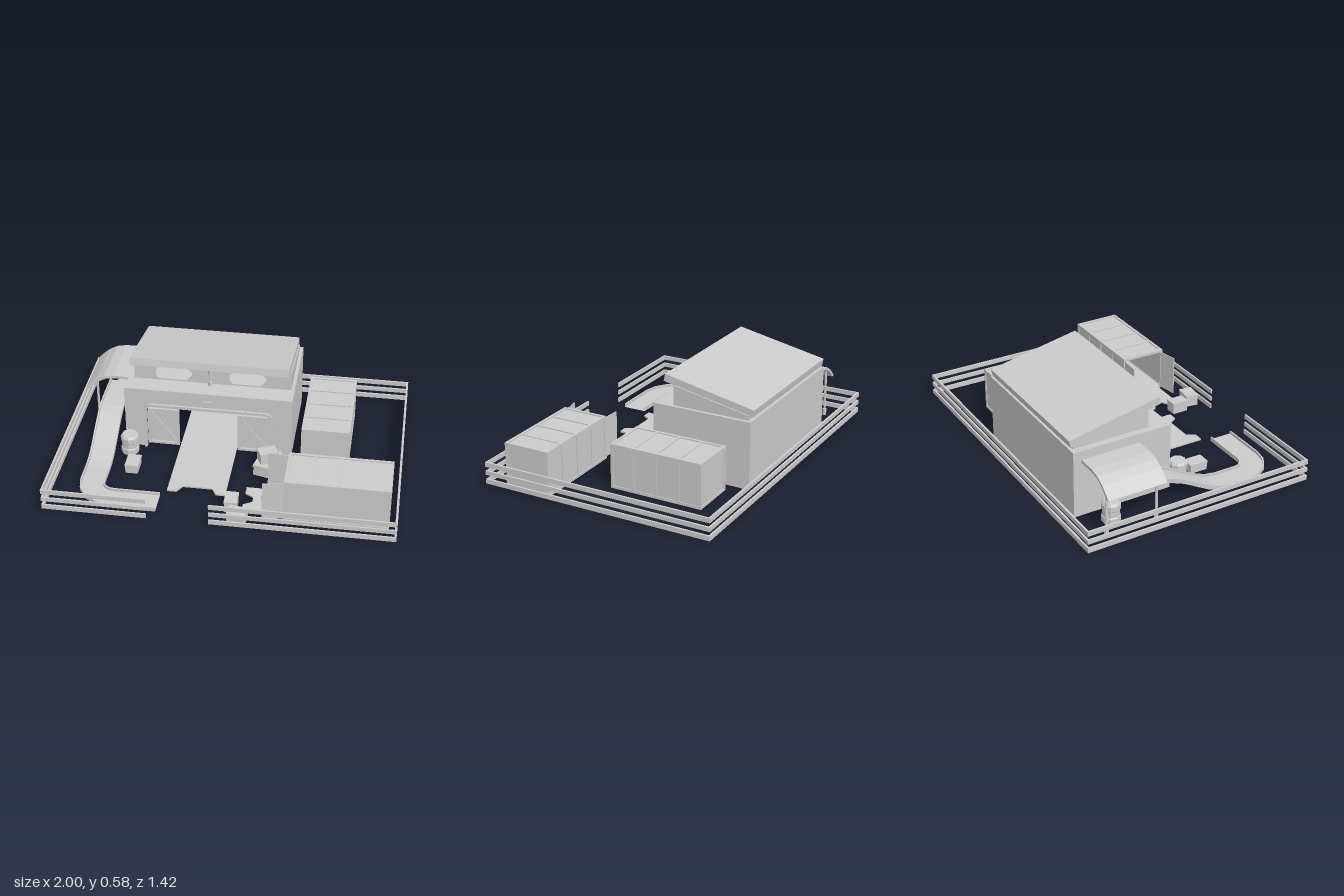
import * as THREE from 'three';

const mat = new THREE.MeshStandardMaterial({ color: 0xcccccc, flatShading: true, side: THREE.DoubleSide });

function add(parent, name, geo, x = 0, y = 0, z = 0) {
  const m = new THREE.Mesh(geo, mat);
  m.name = name;
  m.position.set(x, y, z);
  parent.add(m);
  return m;
}
// box given by its minimum and maximum corners
function span(parent, name, x0, x1, y0, y1, z0, z1) {
  return add(parent, name, new THREE.BoxGeometry(x1 - x0, y1 - y0, z1 - z0), (x0 + x1) / 2, (y0 + y1) / 2, (z0 + z1) / 2);
}
function group(parent, name, x = 0, y = 0, z = 0) {
  const g = new THREE.Group();
  g.name = name;
  g.position.set(x, y, z);
  parent.add(g);
  return g;
}
const poly = pts => new THREE.Shape(pts.map(p => new THREE.Vector2(...p)));
const extrude = (shape, depth) => new THREE.ExtrudeGeometry(shape, { depth, bevelEnabled: false, curveSegments: 5 });

// doorway outline with rounded upper corners
function archPoints(cx, half, top, r) {
  const pts = [[cx - half, 0]];
  for (let i = 0; i <= 4; i++) {
    const a = Math.PI - i * Math.PI / 8;
    pts.push([cx - half + r + r * Math.cos(a), top - r + r * Math.sin(a)]);
  }
  for (let i = 0; i <= 4; i++) {
    const a = Math.PI / 2 - i * Math.PI / 8;
    pts.push([cx + half - r + r * Math.cos(a), top - r + r * Math.sin(a)]);
  }
  pts.push([cx + half, 0]);
  return pts;
}

// three rails all round, with an entrance gap at the front
function buildFence(root) {
  const g = group(root, 'fence');
  for (const [y0, y1] of [[0.012, 0.04], [0.065, 0.09], [0.115, 0.142]]) {
    span(g, 'backRail', -1, 1, y0, y1, -0.71, -0.698);
    span(g, 'frontRailRight', -1, -0.4, y0, y1, 0.696, 0.706);
    span(g, 'frontRailLeft', -0.045, 1, y0, y1, 0.696, 0.706);
    for (const s of [-1, 1]) span(g, 'sideRail', s * 0.994 - 0.006, s * 0.994 + 0.006, y0, y1, -0.71, 0.706);
  }
}

function buildBuilding(root) {
  const g = group(root, 'building');
  const cx = -0.16;
  // lower hall, open underneath
  const front = poly([[-0.66, 0], ...archPoints(cx, 0.37, 0.292, 0.03), [0.34, 0], [0.34, 0.405], [-0.66, 0.405]]);
  add(g, 'frontWall', extrude(front, 0.02), 0, 0, -0.015);
  span(g, 'backWall', -0.66, 0.34, 0, 0.405, -0.605, -0.59);
  span(g, 'rightWall', -0.66, -0.645, 0, 0.405, -0.59, -0.015);
  span(g, 'leftWall', 0.325, 0.34, 0, 0.405, -0.59, -0.015);
  span(g, 'hallCeiling', -0.645, 0.325, 0.39, 0.405, -0.59, -0.015);
  // raised door frame
  const outer = archPoints(cx, 0.385, 0.31, 0.04), inner = archPoints(cx, 0.37, 0.292, 0.03);
  add(g, 'doorFrame', extrude(poly([...outer, ...inner.reverse()]), 0.018));
  span(g, 'doorLamp', cx - 0.025, cx + 0.025, 0.33, 0.355, 0.004, 0.014);
  // braced door leaves, slid open to both sides
  for (const s of [-1, 1]) {
    const d = group(g, 'doorLeaf', cx + s * 0.272, 0.14, -0.02);
    const w = 0.19, h = 0.25;
    add(d, 'doorPanel', new THREE.BoxGeometry(w, h, 0.008));
    for (const t of [-1, 1]) {
      add(d, 'doorRail', new THREE.BoxGeometry(w, 0.016, 0.02), 0, t * (h / 2 - 0.008), 0.004);
      add(d, 'doorStile', new THREE.BoxGeometry(0.016, h, 0.02), t * (w / 2 - 0.008), 0, 0.004);
      add(d, 'doorBrace', new THREE.BoxGeometry(Math.hypot(w, h) - 0.05, 0.014, 0.014), 0, 0, 0.004).rotation.z = t * Math.atan2(h, w);
    }
  }
  // upper storey with two long rounded windows
  const upper = poly([[-0.62, 0.4], [0.32, 0.4], [0.32, 0.522], [-0.62, 0.522]]);
  for (const x of [-0.383, 0.06]) {
    const hole = new THREE.Path(), r = 0.04, hw = 0.072;
    hole.absarc(x + hw, 0.455, r, -Math.PI / 2, Math.PI / 2, false);
    hole.absarc(x - hw, 0.455, r, Math.PI / 2, Math.PI * 1.5, false);
    hole.closePath();
    upper.holes.push(hole);
  }
  add(g, 'upperFrontWall', extrude(upper, 0.02), 0, 0, -0.135);
  const side = extrude(poly([[0.115, 0.4], [0.585, 0.4], [0.585, 0.433], [0.115, 0.525]]), 0.015);
  side.rotateY(Math.PI / 2);
  for (const x of [-0.62, 0.305]) add(g, 'upperSideWall', side, x);
  span(g, 'upperBackWall', -0.62, 0.32, 0.4, 0.433, -0.585, -0.57);
  // sloping roof and its post
  add(g, 'roof', new THREE.BoxGeometry(0.945, 0.045, 0.57), cx, 0.502, -0.33).rotation.x = -0.2;
  add(g, 'roofPost', new THREE.CylinderGeometry(0.008, 0.008, 0.13, 8), cx, 0.465, -0.095);
  for (const y of [0.417, 0.5]) add(g, 'postCollar', new THREE.CylinderGeometry(0.013, 0.013, 0.03, 8), cx, y, -0.095);
}

// ramp along z whose front edge has two tongues
function ramp(parent, name, w, z0, z1) {
  const h = w / 2, n = z1 - 0.05;
  const s = poly([[-h, z0], [h, z0], [h, z1], [h - 0.055, z1], [h - 0.085, n], [-h + 0.085, n], [-h + 0.055, z1], [-h, z1]]);
  const geo = extrude(s, 0.01);
  geo.rotateX(Math.PI / 2);
  return add(parent, name, geo, 0, 0.016, 0);
}

// framed container shell, long along x
function container(parent, name, L, W, ribs, open) {
  const g = group(parent, name), H = 0.268, b = 0.016, i = 0.007;
  const x = L / 2, z = W / 2;
  span(g, 'topPanel', -x + i, x - i, H - i - 0.004, H - i, -z + i, z - i);
  for (const s of [-1, 1]) {
    add(g, 'sidePanel', new THREE.BoxGeometry(L - 2 * i, H - i, 0.004), 0, (H - i) / 2, s * (z - i));
    if (!open || s > 0) add(g, 'endPanel', new THREE.BoxGeometry(0.004, H - i, W - 2 * i), s * (x - i), (H - i) / 2, 0);
    for (const y of [b / 2, H - b / 2]) {
      add(g, 'longEdge', new THREE.BoxGeometry(L, b, b), 0, y, s * (z - b / 2));
      add(g, 'endEdge', new THREE.BoxGeometry(b, b, W), s * (x - b / 2), y, 0);
    }
    for (const t of [-1, 1]) add(g, 'cornerPost', new THREE.BoxGeometry(b, H, b), s * (x - b / 2), H / 2, t * (z - b / 2));
    for (let k = 1; k <= ribs; k++)
      add(g, 'sideRib', new THREE.BoxGeometry(0.014, H, 0.01), -x + k * L / (ribs + 1), H / 2, s * (z - 0.005));
  }
  for (let k = 1; k <= ribs; k++)
    add(g, 'topRib', new THREE.BoxGeometry(0.014, 0.008, W), -x + k * L / (ribs + 1), H - 0.005, 0);
  if (open) {
    span(g, 'containerFloor', -x, x, 0.004, 0.014, -z, z);
    // opened door leaves
    for (const s of [-1, 1]) {
      const d = group(g, 'containerDoor', -x, 0.13, s * (z - 0.01));
      d.rotation.y = s * (s > 0 ? 0.18 : 0.05);
      add(d, 'doorPanel', new THREE.BoxGeometry(0.12, 0.245, 0.006), -0.06);
    }
  }
  return g;
}

// chute: a U section swept along a path that slopes down and turns the corner
function chuteGeometry() {
  const path = [];
  const height = z => 0.17 * (1 - THREE.MathUtils.smoothstep(z, -0.17, 0.28)) + 0.004;
  for (let k = 0; k <= 12; k++) {
    const z = -0.4 + k * 0.82 / 12;
    path.push([-0.772, height(z), z, -1, 0]);
  }
  for (let k = 1; k <= 4; k++) {
    const a = k * Math.PI / 8;
    path.push([-0.635 - 0.137 * Math.cos(a), 0.004, 0.42 + 0.137 * Math.sin(a), -Math.cos(a), Math.sin(a)]);
  }
  path.push([-0.362, 0.004, 0.557, 0, 1]);
  const w = 0.073, n = 0.064;
  const sec = [[-w, 0], [-w, 0.026], [-n, 0.026], [-n, 0.01], [n, 0.01], [n, 0.026], [w, 0.026], [w, 0]];
  const pos = [], idx = [];
  for (const [x, y, z, dx, dz] of path) for (const [o, h] of sec) pos.push(x + dx * o, y + h, z + dz * o);
  for (let i = 0; i < path.length - 1; i++) for (let j = 0; j < 8; j++) {
    const a = i * 8 + j, b = i * 8 + (j + 1) % 8;
    idx.push(a, b, a + 8, b, b + 8, a + 8);
  }
  const geo = new THREE.BufferGeometry();
  geo.setAttribute('position', new THREE.Float32BufferAttribute(pos, 3));
  geo.setIndex(idx);
  geo.computeVertexNormals();
  return geo;
}

function buildChute(root) {
  const g = group(root, 'chute');
  add(g, 'chuteTrough', chuteGeometry());
  // curved canopy on two posts
  const top = [[-0.66, 0.35], [-0.77, 0.35], [-0.83, 0.338], [-0.88, 0.31], [-0.915, 0.28], [-0.945, 0.25]];
  const low = top.map(([x, y], i) => [x + i * 0.004, y - 0.02 + i * 0.003]).reverse();
  add(g, 'canopy', extrude(poly([...top, ...low]), 0.36), 0, 0, -0.555);
  for (const z of [-0.53, -0.22]) {
    add(g, 'canopyPost', new THREE.CylinderGeometry(0.008, 0.008, 0.29, 8), -0.88, 0.145, z);
    add(g, 'postFoot', new THREE.CylinderGeometry(0.013, 0.013, 0.04, 8), -0.88, 0.02, z);
  }
}

function barrel(root, x, z) {
  const prof = [[0, 0], [0.045, 0], [0.055, 0.015], [0.055, 0.045], [0.05, 0.05], [0.05, 0.085], [0.055, 0.09], [0.055, 0.12], [0.045, 0.135], [0, 0.135]];
  add(root, 'barrel', new THREE.LatheGeometry(prof.map(p => new THREE.Vector2(...p)), 9), x, 0, z);
}

function crate(root, x, y, z, w, d, angle = 0, h = 0.07) {
  const g = group(root, 'crate', x, y, z);
  g.rotation.y = angle;
  add(g, 'crateBody', new THREE.BoxGeometry(w - 0.006, h, d - 0.006), 0, h / 2, 0);
  add(g, 'crateLid', new THREE.BoxGeometry(w, 0.014, d), 0, h - 0.006, 0);
}

export function createModel() {
  const root = new THREE.Group();
  root.name = 'depot';
  buildFence(root);
  buildBuilding(root);
  ramp(root, 'entranceRamp', 0.34, -0.5, 0.437).position.x = -0.16;
  buildChute(root);

  // closed container beside the hall
  const a = container(root, 'closedContainer', 0.57, 0.283, 3, false);
  a.position.set(0.545, 0, -0.205);
  a.rotation.y = Math.PI / 2;
  // open container with loading ramp
  container(root, 'openContainer', 0.595, 0.283, 3, true).position.set(0.658, 0, 0.455);
  const r = ramp(root, 'containerRamp', 0.215, 0, 0.24);
  r.position.set(0.362, 0.016, 0.453);
  r.rotation.y = -Math.PI / 2;

  // loose cargo
  barrel(root, -0.62, 0.083);
  barrel(root, -0.79, -0.45);
  crate(root, -0.57, 0, 0.238, 0.08, 0.115, 0, 0.055);
  crate(root, 0.235, 0, 0.085, 0.11, 0.075);
  crate(root, 0.2, 0, 0.175, 0.11, 0.085, -0.25);
  crate(root, 0.215, 0.07, 0.14, 0.11, 0.075, 0.45);
  crate(root, 0.058, 0, 0.52, 0.075, 0.105);
  crate(root, 0.108, 0, 0.635, 0.11, 0.08, -0.14);
  return root;
}
